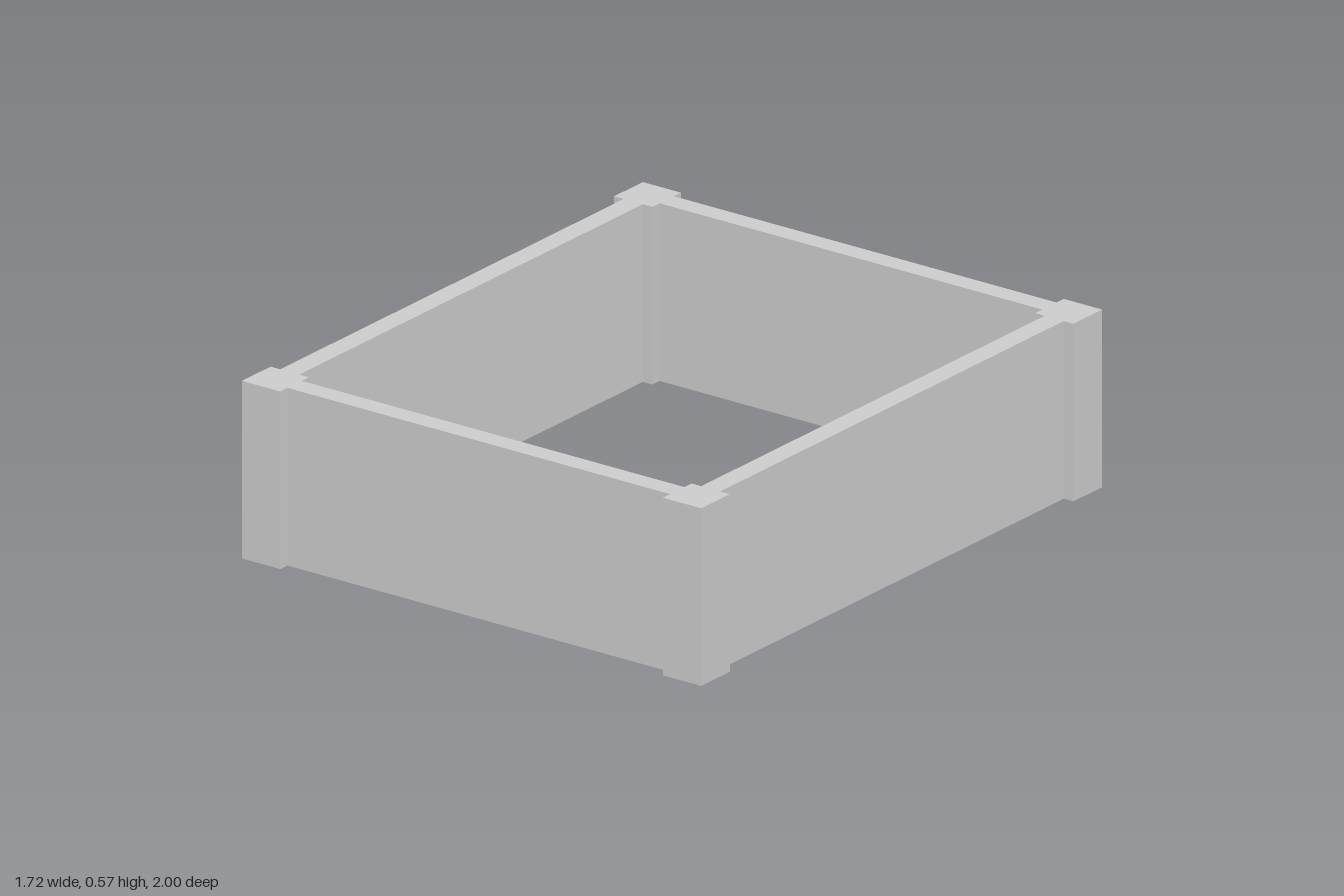
import * as THREE from 'three';

const HEIGHT = 0.572;
const POST = 0.143; // square post side
const WALL = 0.071; // board thickness
const POST_X = 0.786, POST_Z = 0.929; // post centres

export function createModel() {
  const group = new THREE.Group();
  group.name = 'raisedBedFrame';
  const material = new THREE.MeshStandardMaterial({ color: 0xcccccc, flatShading: true });

  const addBox = (name, width, depth, x, z) => {
    const mesh = new THREE.Mesh(new THREE.BoxGeometry(width, HEIGHT, depth), material);
    mesh.name = name;
    mesh.position.set(x, HEIGHT / 2, z);
    group.add(mesh);
  };

  // Corner posts
  for (const [side, sx] of [['Left', 1], ['Right', -1]]) {
    for (const [end, sz] of [['front', 1], ['back', -1]]) {
      addBox(`${end}${side}Post`, POST, POST, sx * POST_X, sz * POST_Z);
    }
  }

  // Boards butt against the posts, centred on them
  const endLength = 2 * POST_X - POST;
  const sideLength = 2 * POST_Z - POST;
  addBox('frontBoard', endLength, WALL, 0, POST_Z);
  addBox('backBoard', endLength, WALL, 0, -POST_Z);
  addBox('leftBoard', WALL, sideLength, POST_X, 0);
  addBox('rightBoard', WALL, sideLength, -POST_X, 0);

  return group;
}
